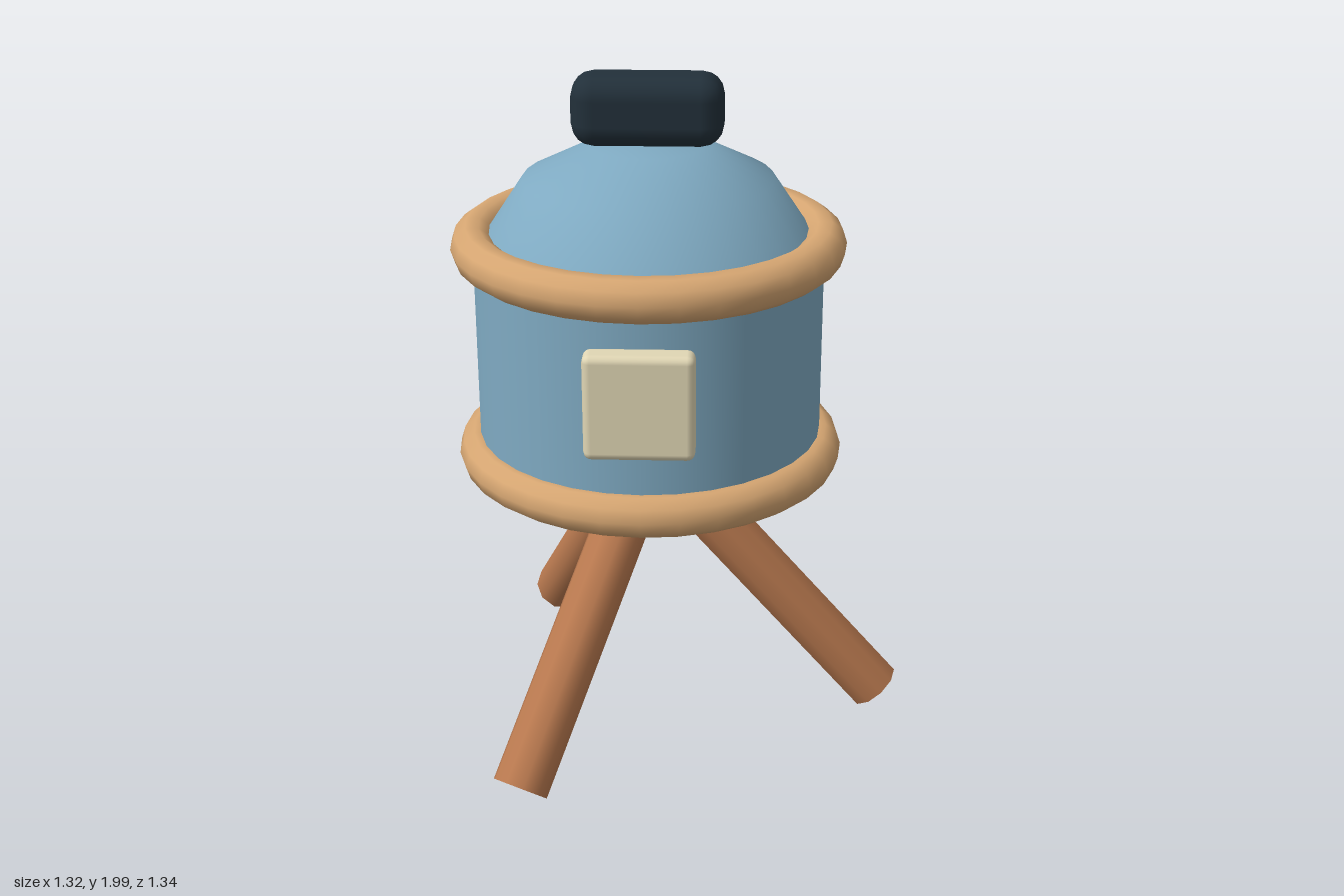
import * as THREE from 'three';
import { RoundedBoxGeometry } from 'three/addons/geometries/RoundedBoxGeometry.js';

function material(name, color) {
  const m = new THREE.MeshStandardMaterial({ color });
  m.name = name;
  return m;
}

export function createModel() {
  const blue = material('blue paint', 0x7faac2);
  const tan = material('tan trim', 0xd6a672);
  const brown = material('brown wood', 0xb9794f);
  const cream = material('cream panel', 0xe0d6b4);
  const dark = material('dark grip', 0x22303a);

  const model = new THREE.Group();
  model.name = 'model';
  // Everything is built around the drum axis, which sits left of centre
  const drum = new THREE.Group();
  drum.name = 'tripodDrum';
  drum.position.x = -0.1;
  model.add(drum);

  const add = (name, geometry, mat, x = 0, y = 0, z = 0, parent = drum) => {
    const mesh = new THREE.Mesh(geometry, mat);
    mesh.name = name;
    mesh.position.set(x, y, z);
    parent.add(mesh);
    return mesh;
  };
  const lathe = (points) =>
    new THREE.LatheGeometry(points.map(([r, y]) => new THREE.Vector2(r, y)), 32);

  // Drum wall, domed lid and tapered base
  add('drumWall', new THREE.CylinderGeometry(0.5, 0.5, 0.63, 32), blue, 0, 1.205, 0);
  add('domeLid', lathe([[0.485, 1.51], [0.355, 1.705], [0.165, 1.8], [0, 1.802]]), blue);
  add('taperedBase', lathe([[0, 0.705], [0.24, 0.705], [0.49, 0.867], [0.5, 0.9]]), blue);

  // Round bands at both rims
  for (const [name, y] of [['lowerBand', 0.893], ['upperBand', 1.517]]) {
    add(name, new THREE.TorusGeometry(0.5, 0.063, 10, 32), tan, 0, y, 0).rotation.x = Math.PI / 2;
  }

  // Front panel and top grip
  add('frontPanel', new RoundedBoxGeometry(0.3, 0.3, 0.08, 2, 0.022), cream, 0, 1.23, 0.523);
  add('topGrip', new RoundedBoxGeometry(0.426, 0.2, 0.186, 2, 0.065), dark, 0, 1.9, 0);

  // Three splayed legs
  const foot = new THREE.Vector2(0.695, 0.063);
  const hip = new THREE.Vector2(0.09, 0.761);
  const legGeometry = new THREE.CylinderGeometry(
    0.083, 0.083, foot.distanceTo(hip), 10, 1, false, Math.PI / 2);
  for (let i = 0; i < 3; i++) {
    const pivot = new THREE.Group();
    pivot.name = 'legPivot' + (i + 1);
    pivot.rotation.y = (i * Math.PI * 2) / 3;
    drum.add(pivot);
    const leg = add('leg' + (i + 1), legGeometry, brown,
      (foot.x + hip.x) / 2, (foot.y + hip.y) / 2, 0, pivot);
    leg.rotation.z = Math.atan2(foot.x - hip.x, hip.y - foot.y);
  }
  return model;
}
